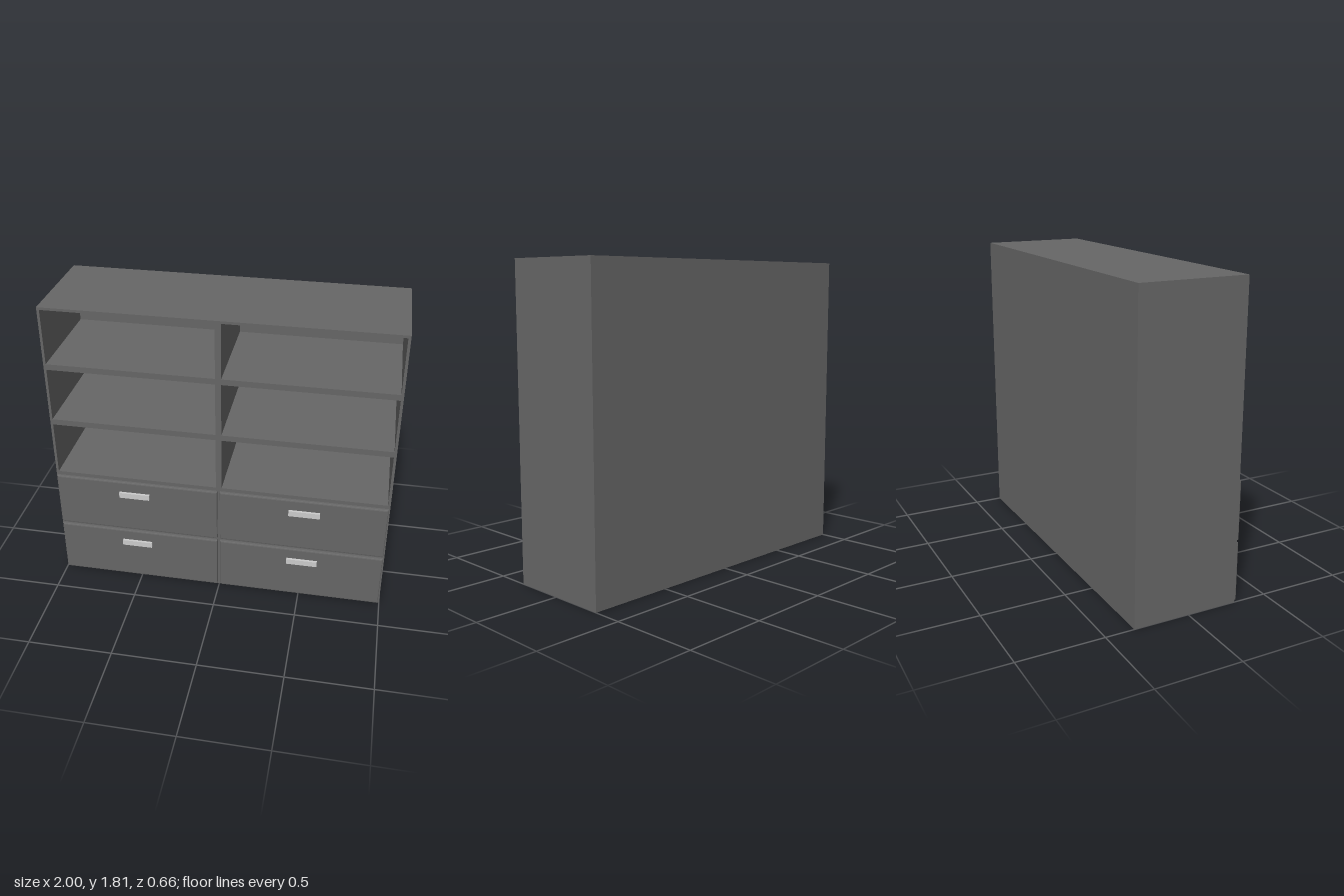
import * as THREE from 'three';

const dark = new THREE.MeshStandardMaterial({ color: 0x666666, flatShading: true });
const grey = new THREE.MeshStandardMaterial({ color: 0xcccccc, flatShading: true });

const HEIGHT = 1.81, BACK = -0.33, FRONT = 0.3, BACK_THICKNESS = 0.015;

function rectangle(target, x0, x1, y0, y1) {
  target.moveTo(x0, y0);
  target.lineTo(x1, y0);
  target.lineTo(x1, y1);
  target.lineTo(x0, y1);
  target.closePath();
  return target;
}

function addMesh(parent, name, geometry, material, x, y, z) {
  const mesh = new THREE.Mesh(geometry, material);
  mesh.name = name;
  mesh.position.set(x, y, z);
  parent.add(mesh);
}

export function createModel() {
  const model = new THREE.Group();
  model.name = 'shelfCabinet';

  // Carcass: solid drawer base with six open compartments above
  const face = rectangle(new THREE.Shape(), -1, 1, 0, HEIGHT);
  for (const [y0, y1] of [[0.74, 1.07], [1.105, 1.43], [1.465, 1.795]]) {
    face.holes.push(rectangle(new THREE.Path(), -0.985, -0.017, y0, y1));
    face.holes.push(rectangle(new THREE.Path(), 0.017, 0.985, y0, y1));
  }
  const depth = FRONT - BACK - BACK_THICKNESS;
  addMesh(model, 'carcass', new THREE.ExtrudeGeometry(face, { depth, bevelEnabled: false }),
    dark, 0, 0, BACK + BACK_THICKNESS);

  // Back panel closing the compartments
  addMesh(model, 'backPanel', new THREE.BoxGeometry(2, HEIGHT, BACK_THICKNESS),
    dark, 0, HEIGHT / 2, BACK + BACK_THICKNESS / 2);

  // Drawers: chamfered front panel with a bar handle
  const width = 0.984, height = 0.346, chamfer = 0.009;
  const panel = new THREE.ExtrudeGeometry(
    rectangle(new THREE.Shape(), -width / 2, width / 2, -height / 2, height / 2),
    { depth: 0.012, bevelSize: chamfer, bevelOffset: -chamfer, bevelThickness: 0.006, bevelSegments: 2 });
  const handle = new THREE.BoxGeometry(0.185, 0.035, 0.018);

  for (const side of [-1, 1]) {
    for (const [row, y] of [['lower', 0.182], ['upper', 0.544]]) {
      const drawer = new THREE.Group();
      drawer.name = row + (side > 0 ? 'Left' : 'Right') + 'Drawer';
      drawer.position.set(side * 0.5, y, FRONT);
      addMesh(drawer, 'drawerFront', panel, dark, 0, 0, 0);
      addMesh(drawer, 'drawerHandle', handle, grey, side * 0.012, 0.087, 0.024);
      model.add(drawer);
    }
  }
  return model;
}
